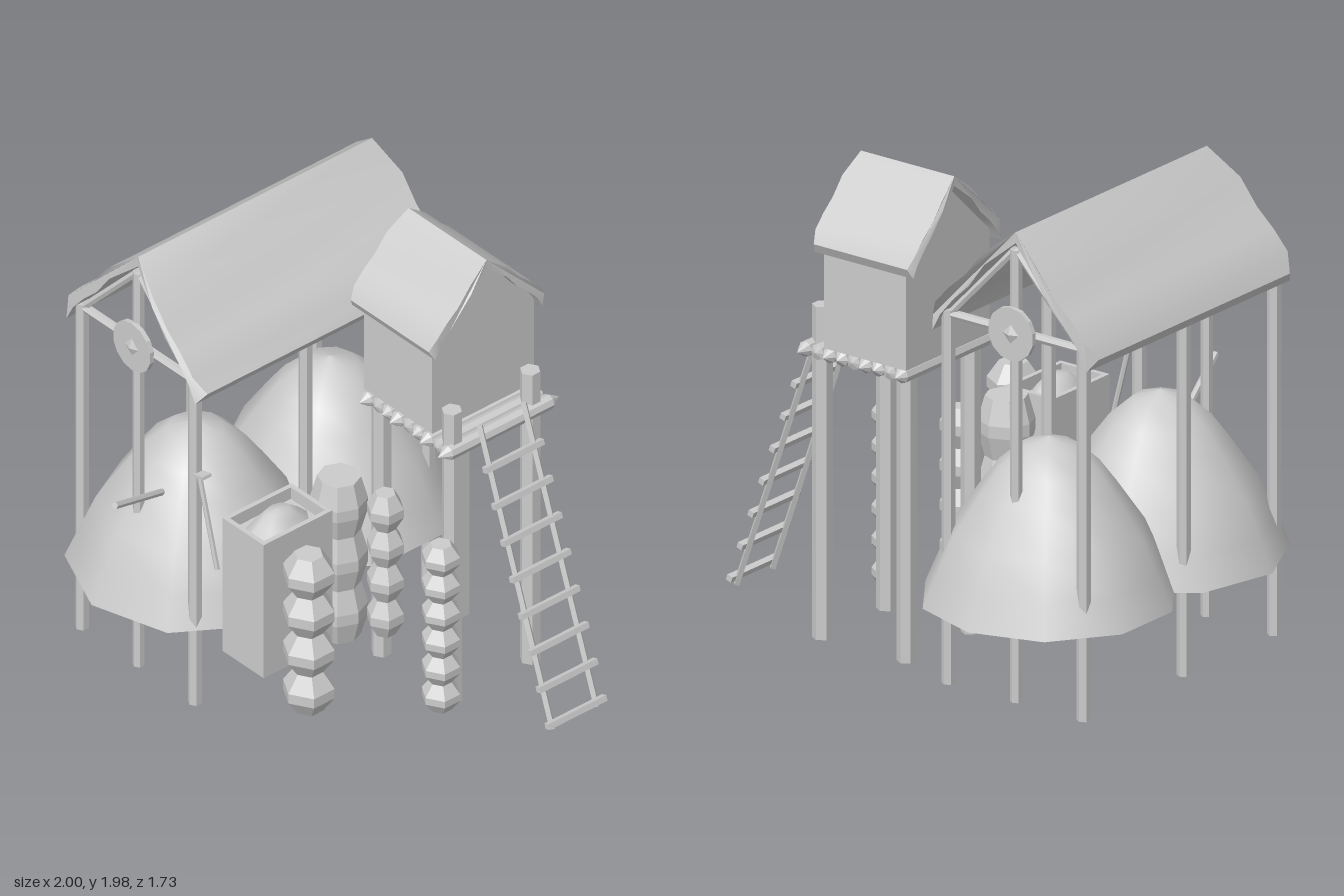
import * as THREE from 'three';
import { toCreasedNormals } from 'three/addons/utils/BufferGeometryUtils.js';

const smooth = new THREE.MeshStandardMaterial({ color: 0xcccccc, side: THREE.DoubleSide });
const flat = new THREE.MeshStandardMaterial({ color: 0xcccccc, flatShading: true });

function add(parent, name, geo, pos = [0, 0, 0], mat = flat) {
  const mesh = new THREE.Mesh(geo, mat);
  mesh.name = name;
  mesh.position.set(...pos);
  parent.add(mesh);
  return mesh;
}

// Rod between two points
function rod(parent, name, a, b, r, sides = 6) {
  const p = new THREE.Vector3(...a), q = new THREE.Vector3(...b);
  const mesh = add(parent, name, new THREE.CylinderGeometry(r, r, p.distanceTo(q), sides));
  mesh.position.copy(p).add(q).multiplyScalar(0.5);
  mesh.quaternion.setFromUnitVectors(new THREE.Vector3(0, 1, 0), q.sub(p).normalize());
  return mesh;
}

function lathe(points, sides) {
  return new THREE.LatheGeometry(points.map(([r, y]) => new THREE.Vector2(r, y)), sides);
}

// Centred extrusion of an XY outline along z
function extrude(points, depth) {
  const shape = new THREE.Shape(points.map(([x, y]) => new THREE.Vector2(x, y)));
  return new THREE.ExtrudeGeometry(shape, { depth, bevelEnabled: false }).translate(0, 0, -depth / 2);
}

// Wavy gable roof, ridge at y = 0, with clipped ridge and eave corners
function roofGeometry(halfWidth, drop, thickness, length) {
  const half = [[0, 0], [0.33, 0.24], [0.53, 0.47], [0.73, 0.63], [0.9, 0.8], [1, 0.96]]
    .map(([x, y]) => [x * halfWidth, -y * drop]);
  const under = half.map(([x, y]) => [x * 0.93, y - thickness]);
  const mirror = pts => pts.slice(1).map(([x, y]) => [-x, y]);
  const outline = [...mirror(half).reverse(), ...half, ...under.reverse(), ...mirror(under.reverse())];
  const geo = extrude(outline, length);
  const pos = geo.attributes.position;
  for (let i = 0; i < pos.count; i++) {
    const x = Math.abs(pos.getX(i));
    if (x < 0.01 || x > halfWidth * 0.95) pos.setZ(i, pos.getZ(i) * 0.94);
  }
  return toCreasedNormals(geo, 0.6);
}

// Stack of identical turned segments; profile is [radius, 0..1 height]
function stack(parent, name, x, z, y0, y1, count, profile, sides, turn = 0) {
  const h = (y1 - y0) / count;
  const group = new THREE.Group();
  group.name = name;
  group.position.set(x, y0, z);
  const geo = lathe([[0, 0], ...profile.map(([r, y]) => [r, y * h]), [0, h]], sides).rotateY(turn);
  for (let i = 0; i < count; i++) add(group, name + 'Segment', geo, [0, i * h, 0]);
  parent.add(group);
}

function createPavilion() {
  const g = new THREE.Group();
  g.name = 'pavilion';
  const cx = -0.495, w = 0.33;
  add(g, 'pavilionRoof', roofGeometry(0.405, 0.45, 0.045, 1.27), [cx, 1.93, 0], smooth);
  for (const s of [-1, 1]) {
    const z = s * 0.595;
    // Gable frame with posts, beam, rafters and round plate
    rod(g, 'gablePost', [cx, 0, z], [cx, 1.86, z], 0.024);
    rod(g, 'gableBeam', [cx - w, 1.52, z], [cx + w, 1.52, z], 0.019);
    add(g, 'gableDisc', new THREE.CylinderGeometry(0.11, 0.11, 0.02, 14).rotateX(Math.PI / 2), [cx, 1.52, z + s * 0.025]);
    add(g, 'discBoss', new THREE.ConeGeometry(0.04, 0.015, 4).rotateX(s * Math.PI / 2), [cx, 1.52, z + s * 0.042]);
    for (const t of [-1, 1]) {
      rod(g, 'cornerPost', [cx + t * w, 0, z], [cx + t * w, 1.54, z], 0.028);
      rod(g, 'rafter', [cx, 1.86, z], [cx + t * (w + 0.01), 1.5, z], 0.016);
    }
    rod(g, 'sidePost', [cx + s * w, 0, 0.03], [cx + s * w, 1.54, 0.03], 0.028);
  }
  return g;
}

function createDomes(g) {
  const profile = [[0.505, 0.36], [0.45, 0.49], [0.385, 0.64], [0.27, 0.81], [0.2, 0.905], [0.11, 0.985], [0, 1.02]];
  add(g, 'frontDome', lathe(profile, 9), [-0.5, 0, 0.3], smooth).rotation.y = -0.06;
  add(g, 'backDome', lathe(profile, 10), [-0.475, 0, -0.365], smooth).rotation.y = Math.PI;
}

function createHut() {
  const g = new THREE.Group();
  g.name = 'stiltHut';
  const body = extrude([[-0.26, 1.25], [0.26, 1.25], [0.26, 1.68], [0, 1.93], [-0.26, 1.68]], 0.4);
  add(g, 'hutBody', body.rotateY(Math.PI / 2), [0.215, 0, -0.37]);
  add(g, 'hutRoof', roofGeometry(0.295, 0.31, 0.04, 0.485).rotateY(Math.PI / 2), [0.22, 1.975, -0.358], smooth);

  // Platform of pointed logs
  for (let i = 0; i < 9; i++) {
    const tip = [0.3, 0.27, 0.285][i % 3] + (i === 8 ? 0.025 : 0);
    const log = lathe([[0, -tip], [0.032, -0.258], [0.032, 0.258], [0, tip]], 8).rotateX(Math.PI / 2);
    add(g, 'platformLog', log, [0.046 + i * 0.0588, 1.22, -0.36]);
  }

  // Stilts, taller on the ladder side
  for (const z of [-0.145, -0.545]) {
    rod(g, 'innerStilt', [0.078, 0.02, z], [0.078, 1.21, z], 0.04, 6);
    rod(g, 'outerStilt', [0.49, 0.02, z], [0.49, 1.39, z], 0.041, 6);
  }

  // Leaning ladder
  const ladder = new THREE.Group();
  ladder.name = 'ladder';
  for (const z of [-0.235, -0.46]) rod(ladder, 'ladderRail', [0.55, 1.305, z], [0.975, 0.1, z], 0.014, 4);
  for (let i = 0; i < 8; i++) {
    const y = 0.13 + i * 0.145;
    const x = 0.985 - i * 0.0523;
    add(ladder, 'ladderRung', new THREE.BoxGeometry(0.026, 0.024, 0.295), [x, y, -0.347]).rotation.z = 0.34;
  }
  g.add(ladder);
  return g;
}

function createCrate() {
  const g = new THREE.Group();
  g.name = 'crate';
  g.position.set(0.06, 0, 0.37);
  add(g, 'crateBody', new THREE.BoxGeometry(0.24, 0.575, 0.35), [0, 0.5625, 0]);
  for (const s of [-1, 1]) {
    add(g, 'crateRim', new THREE.BoxGeometry(0.02, 0.055, 0.35), [s * 0.11, 0.8775, 0]);
    add(g, 'crateRim', new THREE.BoxGeometry(0.2, 0.055, 0.02), [0, 0.8775, s * 0.165]);
  }
  // Heaped contents
  const heap = lathe([[1, 0], [0.65, 0.05], [0.35, 0.085], [0, 0.09]], 8).scale(0.1, 1, 0.155);
  add(g, 'crateContents', heap, [0, 0.845, 0], smooth);
  return g;
}

export function createModel() {
  const model = new THREE.Group();
  model.name = 'village';
  model.add(createPavilion(), createHut(), createCrate());
  createDomes(model);

  // Barrels and hanging bead columns
  const bead = r => [[r * 0.55, 0], [r, 0.38], [r, 0.62], [r * 0.55, 1]];
  stack(model, 'barrelStack', 0.06, 0.055, 0.2, 0.94, 3, [[0.085, 0], [0.112, 0.4], [0.112, 0.6], [0.085, 1]], 8);
  stack(model, 'frontBeadColumn', 0.33, 0.445, 0.17, 0.9, 4, bead(0.105), 6);
  stack(model, 'middleBeadColumn', 0.21, -0.05, 0.23, 0.89, 4, bead(0.075), 6);
  stack(model, 'sideBeadColumn', 0.547, -0.04, 0.06, 0.835, 6, bead(0.078), 6);

  // Stick poking out of the front dome, and a leaning tool at the corner
  rod(model, 'domeStick', [-0.445, 0.8, 0.48], [-0.335, 0.96, 0.855], 0.014);
  rod(model, 'toolHandle', [-0.135, 1.1, 0.6], [-0.035, 0.7, 0.595], 0.011);
  add(model, 'toolHead', new THREE.BoxGeometry(0.06, 0.014, 0.045), [-0.12, 1.1, 0.598]).rotation.z = 0.24;
  return model;
}
